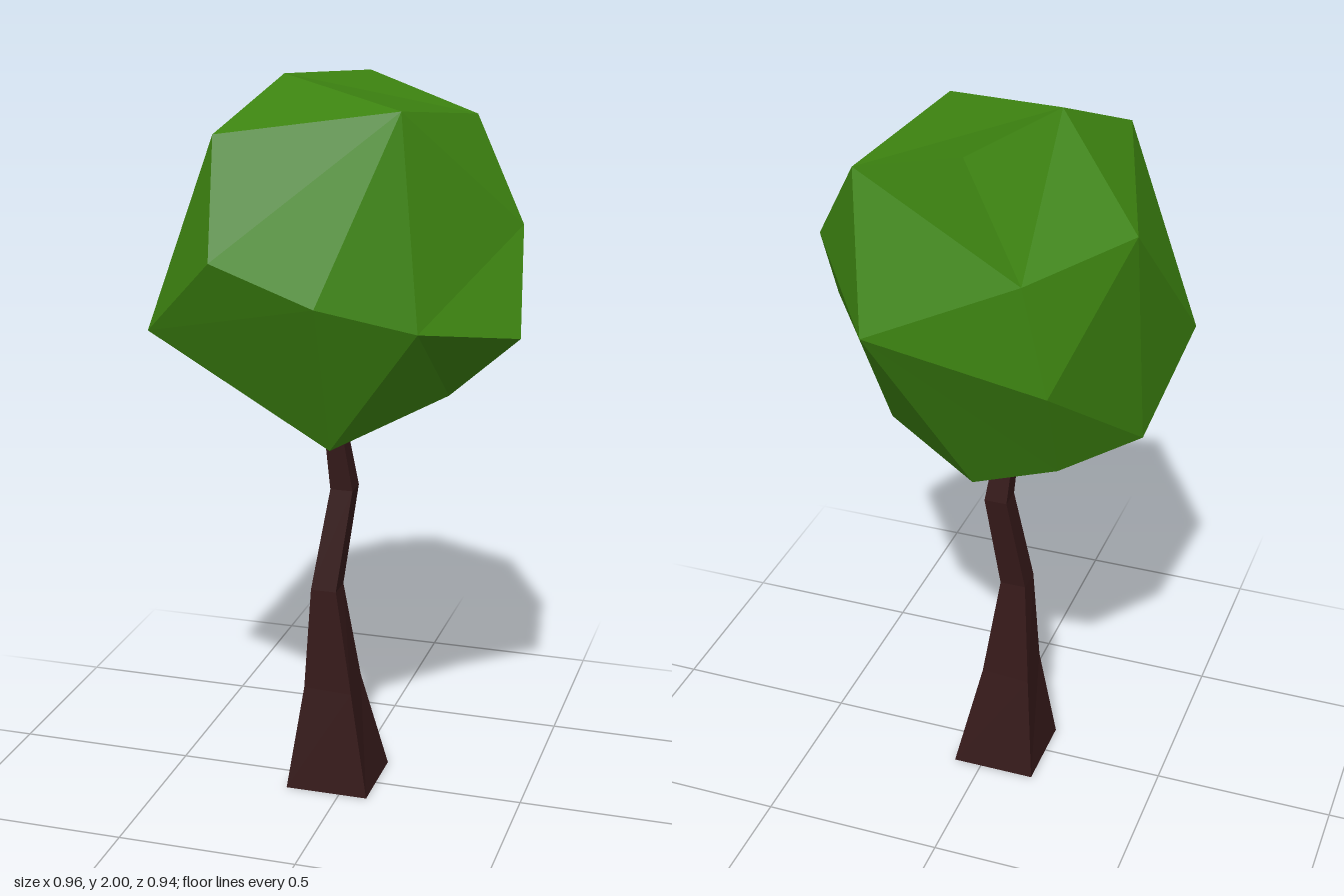
import * as THREE from 'three';

// Corners of the twelve-sided crown, one letter each
const CORNERS = {
  A: [-0.17, 2.0, 0.01], B: [0.185, 1.94, 0.17], C: [0.285, 1.88, -0.24], D: [-0.03, 1.975, -0.31],
  E: [-0.27, 1.88, 0.28], F: [-0.42, 1.77, -0.165], G: [0.445, 1.62, -0.1], H: [0.48, 1.36, 0.075],
  I: [-0.48, 1.35, 0.23], J: [-0.245, 1.58, 0.4], K: [0.05, 1.5, 0.47], L: [0.27, 1.415, 0.315],
  M: [-0.22, 1.73, -0.44], N: [0.18, 1.54, -0.47], O: [-0.29, 1.45, -0.45], P: [-0.43, 1.17, -0.08],
  Q: [-0.02, 1.04, -0.235], R: [0.03, 1.08, 0.275], S: [0.245, 1.13, -0.13], T: [-0.275, 1.17, -0.31],
};

// Bent five-corner faces, each a fan of triangles from its first corner
const FACES = ['CDABG', 'BAEJK', 'LHGBK', 'KLRIJ', 'SQRLH', 'ADMFE',
  'MDCNO', 'GCNSH', 'IPFEJ', 'OTPFM', 'NOTQS', 'RQTPI'];

// Trunk sections: height, x from, x to, z from, z to, pull on two opposite corners
const SECTIONS = [
  [0, -0.155, 0.08, -0.13, 0.1, 0],
  [0.3, -0.125, 0.027, -0.08, 0.072, 0.012],
  [0.59, -0.097, -0.025, -0.03, 0.043, 0],
  [0.875, -0.053, 0.01, -0.063, 0.0, 0],
  [1.15, -0.073, -0.03, -0.02, 0.024, 0],
];

function flatMesh(positions, color, name) {
  const geometry = new THREE.BufferGeometry();
  geometry.setAttribute('position', new THREE.Float32BufferAttribute(positions, 3));
  geometry.computeVertexNormals();
  const mesh = new THREE.Mesh(geometry, new THREE.MeshStandardMaterial({ color, flatShading: true }));
  mesh.name = name;
  return mesh;
}

function makeCrown() {
  const centre = new THREE.Vector3(0, 1.5, 0);
  const positions = [];
  for (const face of FACES) {
    let ring = [...face].map((key) => new THREE.Vector3(...CORNERS[key]));
    // Wind the whole face so that it looks outward
    const area = new THREE.Vector3();
    const middle = new THREE.Vector3();
    ring.forEach((p, i) => {
      const a = p.clone().sub(centre);
      const b = ring[(i + 1) % 5].clone().sub(centre);
      area.add(a.clone().cross(b));
      middle.add(a);
    });
    if (area.dot(middle) < 0) ring = [ring[0], ...ring.slice(1).reverse()];
    for (let i = 1; i < 4; i++) {
      for (const p of [ring[0], ring[i], ring[i + 1]]) positions.push(p.x, p.y, p.z);
    }
  }
  return flatMesh(positions, 0x3c8210, 'foliage');
}

function makeTrunk() {
  // Four corners per section, counter-clockwise from above
  const rings = SECTIONS.map(([y, x0, x1, z0, z1, pull]) => [
    [x0 + pull, y, z1 - pull], [x1, y, z1], [x1 - pull, y, z0 + pull], [x0, y, z0],
  ]);
  const positions = [];
  const quad = (a, b, c, d) => positions.push(...a, ...b, ...c, ...a, ...c, ...d);
  for (let s = 0; s < rings.length - 1; s++) {
    for (let i = 0; i < 4; i++) {
      const j = (i + 1) % 4;
      quad(rings[s][i], rings[s][j], rings[s + 1][j], rings[s + 1][i]);
    }
  }
  // End caps
  quad(...[...rings[0]].reverse());
  quad(...rings[rings.length - 1]);
  return flatMesh(positions, 0x351919, 'trunk');
}

export function createModel() {
  const tree = new THREE.Group();
  tree.name = 'tree';
  tree.add(makeTrunk(), makeCrown());
  return tree;
}
